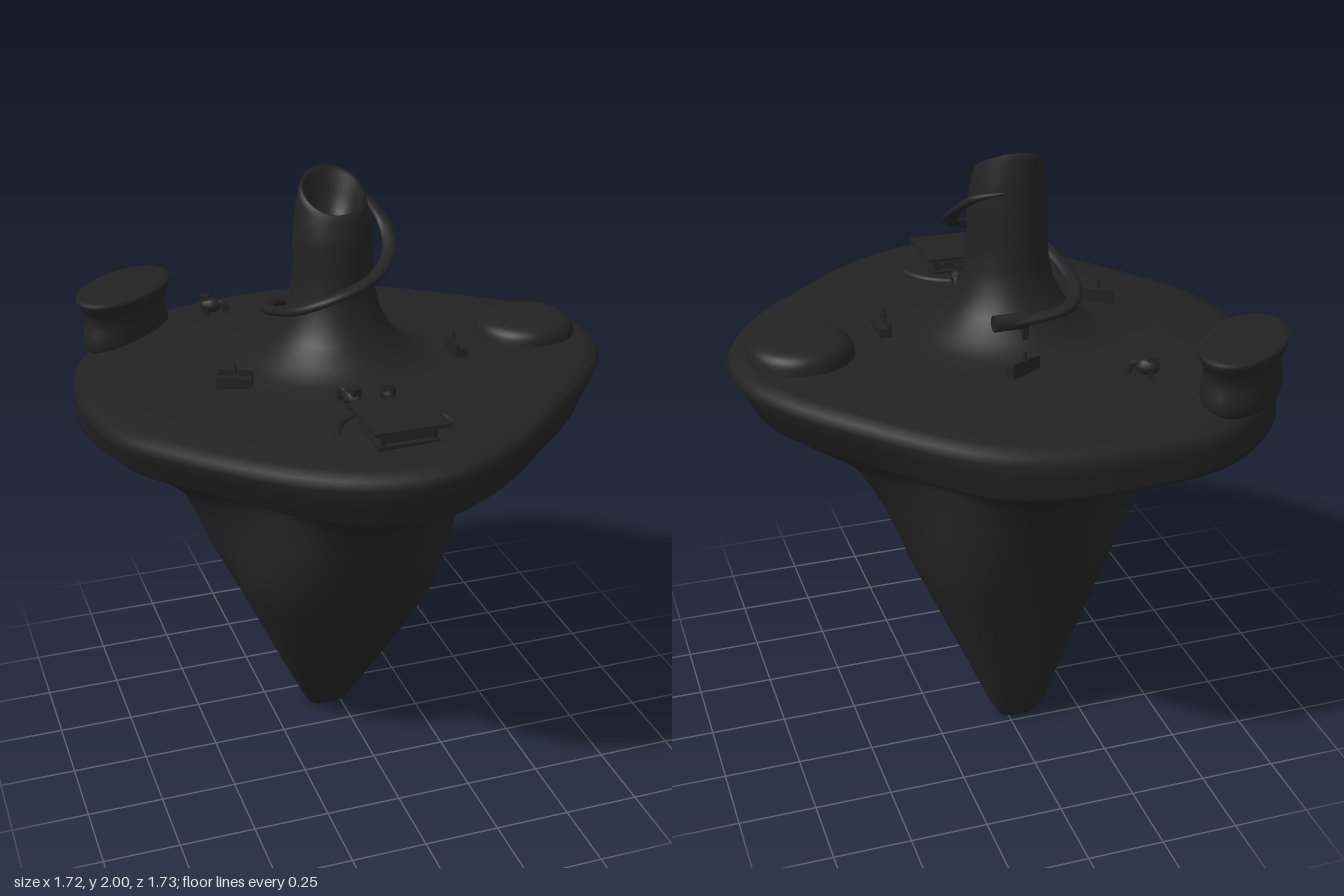
import * as THREE from 'three';

const N = 72;
const stone = new THREE.MeshStandardMaterial({ color: 0x222222 });
stone.name = 'dark stone';

// Rim radius every 15 degrees, from +x towards +z
const RIM = [.858, .81, .755, .725, .748, .80, .857, .85, .81, .785, .795, .84,
  .858, .89, .932, .94, .935, .89, .87, .855, .81, .79, .815, .855];
function rimRadius(t) {
  const f = t / (Math.PI * 2) * 24, i = Math.floor(f), u = f - i;
  const p = k => RIM[(i + k + 24) % 24];
  const a = p(-1), b = p(0), c = p(1), d = p(2);
  return b + .5 * u * (c - a + u * (2 * a - 5 * b + 4 * c - d + u * (3 * (b - c) + d - a)));
}

// Skin a list of rings, each a rule angle -> [x, y, z], running bottom to top
function loft(rings, n = N) {
  const pos = [], idx = [];
  rings.forEach((ring, r) => {
    for (let k = 0; k < n; k++) {
      pos.push(...ring(k / n * Math.PI * 2));
      if (r === 0) continue;
      const a = (r - 1) * n + k, b = (r - 1) * n + (k + 1) % n;
      idx.push(a, a + n, b, b, a + n, b + n);
    }
  });
  const g = new THREE.BufferGeometry();
  g.setAttribute('position', new THREE.Float32BufferAttribute(pos, 3));
  g.setIndex(idx);
  g.computeVertexNormals();
  return g;
}

function add(parent, name, geo, x = 0, y = 0, z = 0, ry = 0) {
  const m = new THREE.Mesh(geo, stone);
  m.name = name;
  m.position.set(x, y, z);
  m.rotation.y = ry;
  parent.add(m);
  return m;
}
const box = (w, h, d) => new THREE.BoxGeometry(w, h, d);
const lathe = pts => new THREE.LatheGeometry(
  new THREE.SplineCurve(pts.map(p => new THREE.Vector2(...p))).getPoints(24), 48);

// Hanging rock, plateau and chimney as one skin
function islandGeometry() {
  // y, x min, x max, z min, z max, blend from low to high diagonals
  const stem = [
    [0, -.04, -.04, -.17, -.17, 0], [0, -.09, .01, -.22, -.12, 0], [.015, -.12, .035, -.245, -.09, 0],
    [.06, -.145, .06, -.265, -.065, 0], [.2, -.21, .12, -.3, .03, 0], [.4, -.3, .21, -.35, .16, 0],
    [.6, -.39, .3, -.41, .28, .05], [.7, -.44, .335, -.445, .325, .15],
    [.8, -.485, .375, -.48, .37, .33], [.9, -.52, .425, -.53, .42, .6],
    [1, -.57, .485, -.58, .475, .85], [1.05, -.62, .54, -.625, .53, .95],
    [1.1, -.68, .62, -.685, .6, 1],
  ];
  // diagonal bulge of each quadrant (++, -+, --, +-), low down and just under the rim
  const low = [.08, .19, .03, .15], high = [-.3, -.26, -.36, -.24];
  const rings = stem.map(([y, x0, x1, z0, z1, w]) => t => {
    const q = Math.floor(t / (Math.PI / 2)) % 4;
    const f = 1 + (low[q] * (1 - w) + high[q] * w) * Math.abs(Math.sin(2 * t)) ** 3;
    return [(x0 + x1) / 2 + (x1 - x0) / 2 * f * Math.cos(t), y,
      (z0 + z1) / 2 + (z1 - z0) / 2 * f * Math.sin(t)];
  });
  const rim = (s, y, inset, lift) => t => {
    const c = Math.cos(t), d = Math.sin(t);
    const slant = .05 * Math.max(0, -Math.sin(2 * t - .5));
    const r = rimRadius(t) * (s - inset * (.045 + .035 * (c + d) + slant));
    return [r * c, y + lift * (1.4 * c + d), r * d];
  };
  rings.push(rim(1, 1.195, 1.15, 0), rim(1, 1.21, .9, 0), rim(1, 1.28, .45, .008),
    rim(1, 1.33, 0, .02), rim(.98, 1.353, 0, .022), rim(.93, 1.367, 0, .02),
    rim(.8, 1.38, 0, .012), rim(.6, 1.387, 0, .005));
  // radius, height, tilt of the chimney
  const spire = [[.37, 1.392, 0], [.3, 1.405, 0], [.235, 1.44, 0], [.185, 1.495, 0],
    [.15, 1.56, 0], [.133, 1.63, 0], [.127, 1.72, 0], [.127, 1.8, .1], [.12, 1.86, .3],
    [.108, 1.925, .5], [.099, 1.945, .55], [.088, 1.94, .55], [.075, 1.89, .4],
    [.05, 1.85, .2], [0, 1.83, 0]];
  spire.forEach(([r, y, k]) => rings.push(t =>
    [-.045 + r * Math.cos(t), y - k * r * Math.sin(t), -.045 + r * Math.sin(t)]));
  return loft(rings);
}

// Ramp winding up round the chimney
function rampGeometry() {
  const path = new THREE.CatmullRomCurve3([
    [.06, 1.5, -.26], [-.08, 1.51, -.265], [-.18, 1.525, -.245], [-.24, 1.55, -.13],
    [-.235, 1.585, 0], [-.2, 1.62, .1], [-.11, 1.66, .145], [.03, 1.7, .115],
    [.12, 1.75, .02], [.14, 1.81, -.08], [.1, 1.875, -.16], [.02, 1.907, -.225],
  ].map(p => new THREE.Vector3(...p)));
  const steps = 90, rings = [];
  for (let i = 0; i <= steps; i++) {
    const u = i / steps, p = path.getPoint(u), d = path.getTangent(u);
    const side = new THREE.Vector3(d.z, 0, -d.x).normalize();
    const w = i === 0 || i === steps ? 0 : .024 * Math.min(1, (1 - u) * 8 + .2);
    rings.push(t => [p.x + side.x * w * Math.cos(t),
      p.y - w * .65 * Math.sin(t), p.z + side.z * w * Math.cos(t)]);
  }
  return loft(rings, 10);
}

// Small market stall: counter, back and post
function stall(parent, x, z, ry) {
  const g = new THREE.Group();
  g.name = 'stall';
  g.position.set(x, 1.385, z);
  g.rotation.y = ry;
  add(g, 'stallCounter', box(.11, .036, .04), 0, .018, 0);
  add(g, 'stallBack', box(.11, .02, .01), 0, .044, -.015);
  add(g, 'stallPost', new THREE.CylinderGeometry(.004, .008, .04, 6), 0, .06, -.01);
  parent.add(g);
}

// Crouching guardian with raised neck
function guardian(parent, x, z, ry) {
  const g = new THREE.Group();
  g.name = 'guardian';
  g.position.set(x, 1.39, z);
  g.rotation.y = ry;
  add(g, 'guardianBody', new THREE.SphereGeometry(.026, 12, 8), 0, .036, -.01).scale.set(.95, 1, 1.5);
  add(g, 'guardianHead', box(.03, .024, .03), 0, .06, -.025);
  for (const s of [-1, 1]) add(g, 'guardianLeg', box(.012, .04, .014), s * .014, .015, -.02);
  const tail = new THREE.CatmullRomCurve3([[0, .04, .01], [0, .045, .035], [0, .015, .05]]
    .map(p => new THREE.Vector3(...p)));
  add(g, 'guardianTail', new THREE.TubeGeometry(tail, 8, .011, 6));
  parent.add(g);
}

function hut(parent) {
  const g = new THREE.Group();
  g.name = 'hut';
  g.position.set(-.047, 1.375, .575);
  add(g, 'hutRoof', box(.235, .012, .235), 0, .075, 0);
  add(g, 'hutFloor', box(.19, .02, .19), 0, .016, 0);
  add(g, 'hutWalls', box(.15, .035, .15), 0, .03, 0);
  for (const x of [-1, 1]) for (const z of [-1, 1])
    add(g, 'hutPost', box(.014, .075, .014), x * .08, .037, z * .08);
  // low curved bank behind the hut
  const bank = add(g, 'hutBank', new THREE.TorusGeometry(.182, .012, 8, 32, Math.PI), 0, .016, 0);
  bank.rotation.x = -Math.PI / 2;
  parent.add(g);
}

export function createModel() {
  const model = new THREE.Group();
  model.name = 'floatingIsland';
  add(model, 'island', islandGeometry());
  add(model, 'spiralRamp', rampGeometry());
  const log = add(model, 'rampLanding', new THREE.CylinderGeometry(.026, .026, .11, 12), .015, 1.505, -.26);
  log.rotation.z = Math.PI / 2;
  add(model, 'rampSupport', box(.02, .1, .08), -.03, 1.46, -.235);

  // Waisted basin with a closed lid on the back corner
  const basin = add(model, 'basin', lathe([[0, -.05], [.7, -.05], [.9, -.03], [.92, .01], [.87, .055],
    [.89, .09], [1, .128], [.97, .146], [.6, .15], [0, .152]]), -.61, 1.362, -.603, Math.PI / 4);
  basin.scale.set(.218, 1, .122);

  // Low dome near the left edge
  add(model, 'dome', lathe([[.172, -.03], [.168, .03], [.155, .065], [.12, .083], [.06, .088], [0, .09]]),
    .63, 1.368, -.05);

  hut(model);
  stall(model, .02, -.39, .45);
  stall(model, .345, .05, Math.PI / 2);
  stall(model, -.41, .085, -.45);
  guardian(model, -.32, -.53, 1.1);
  guardian(model, -.125, .35, Math.PI + .35);
  guardian(model, 0, .35, Math.PI - .35);
  return model;
}
